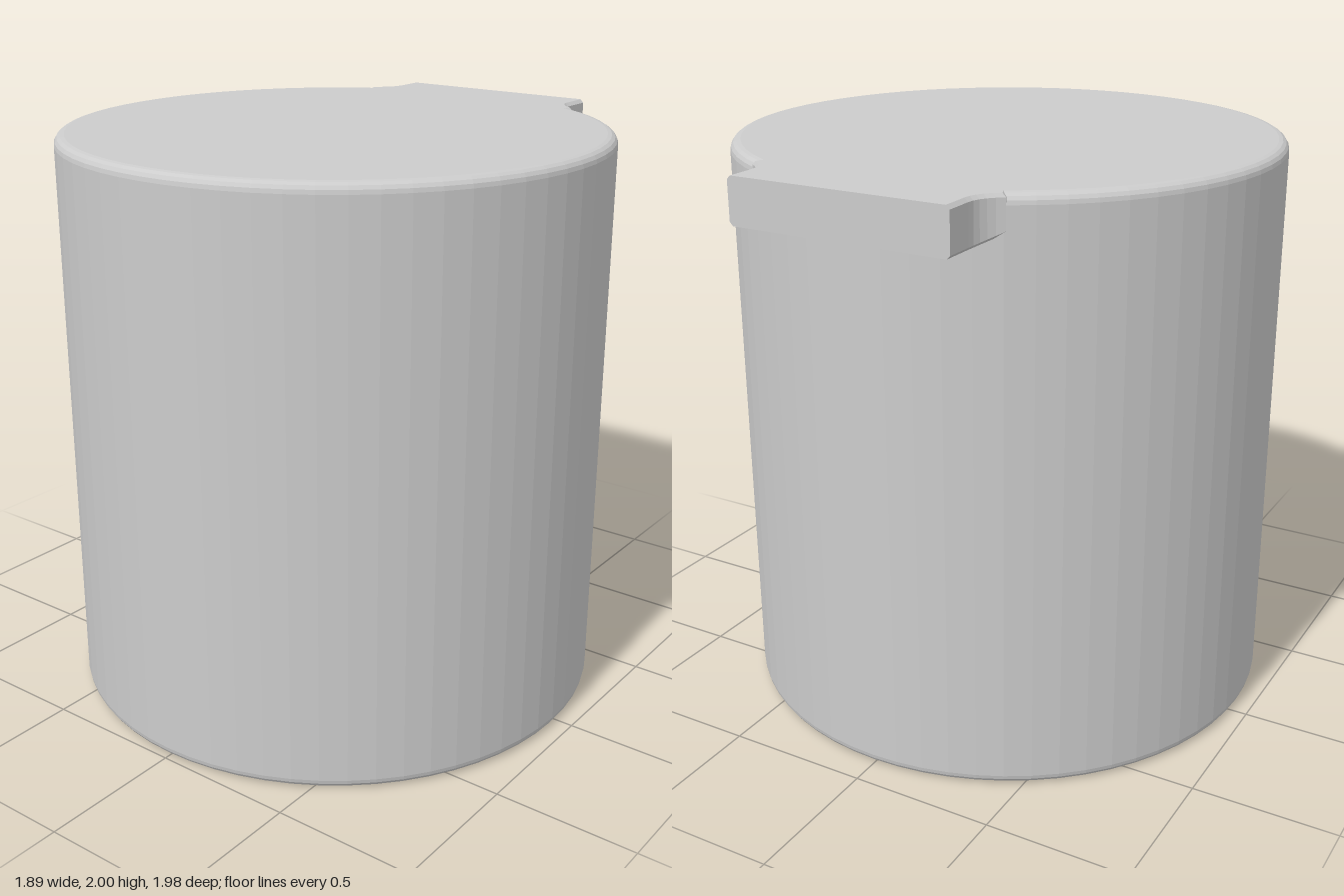
import * as THREE from 'three';

const R = 0.946, CZ = 0.043, H = 2, BEVEL = 0.035;
const TAB_Y = 1.845, TAB_H = H - TAB_Y, TAB_W = 0.388, EDGE = 0.012;

export function createModel() {
  const group = new THREE.Group();
  const material = new THREE.MeshStandardMaterial({ color: 0xcccccc, flatShading: true });

  // Faceted drum with rounded top and bottom rims
  const profile = [new THREE.Vector2(0, 0)];
  for (const [cy, start] of [[BEVEL, -Math.PI / 2], [H - BEVEL, 0]]) {
    for (let i = 0; i <= 4; i++) {
      const a = start + (i / 4) * Math.PI / 2;
      profile.push(new THREE.Vector2(R - BEVEL + BEVEL * Math.cos(a), cy + BEVEL * Math.sin(a)));
    }
  }
  profile.push(new THREE.Vector2(0, H));
  const drum = new THREE.Mesh(new THREE.LatheGeometry(profile, 64), material);
  drum.name = 'drum';
  drum.position.z = CZ;
  group.add(drum);

  // Rear tab, flush with the top, its sides flaring into the drum
  const shape = new THREE.Shape();
  shape.moveTo(-TAB_W, 0.99);
  shape.lineTo(-TAB_W, 0.89);
  shape.quadraticCurveTo(-TAB_W, 0.83, -0.452, 0.788);
  shape.lineTo(-0.36, 0.55);
  shape.lineTo(0.36, 0.55);
  shape.lineTo(0.452, 0.788);
  shape.quadraticCurveTo(TAB_W, 0.83, TAB_W, 0.89);
  shape.lineTo(TAB_W, 0.99);
  const geo = new THREE.ExtrudeGeometry(shape, { depth: TAB_H, steps: 3, bevelEnabled: false, curveSegments: 5 });
  geo.rotateX(-Math.PI / 2);

  // Chamfer the long edges and lift the underside of the flares
  const pos = geo.attributes.position;
  const layers = [0, EDGE, TAB_H - EDGE, TAB_H];
  for (let i = 0; i < pos.count; i++) {
    const layer = Math.round(pos.getY(i) / TAB_H * 3);
    const x = pos.getX(i);
    const lift = layer < 2 ? Math.max(0, Math.abs(x) - TAB_W) * 0.5 : 0;
    pos.setY(i, layers[layer] + lift);
    if (layer === 0 || layer === 3) pos.setX(i, x - Math.sign(x) * EDGE);
  }
  geo.computeVertexNormals();
  const tab = new THREE.Mesh(geo, material);
  tab.name = 'rearTab';
  tab.position.y = TAB_Y;
  group.add(tab);

  return group;
}
